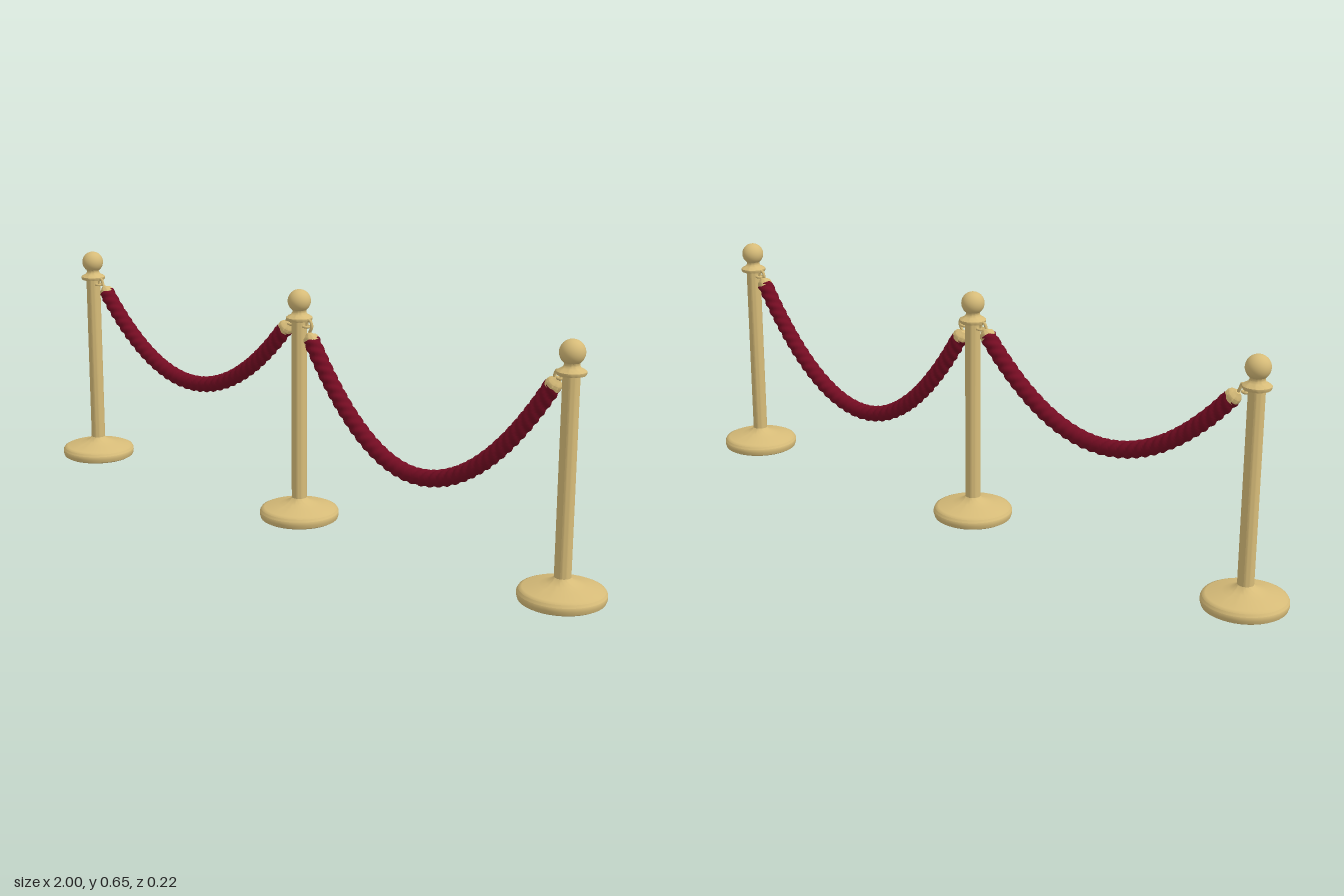
import * as THREE from 'three';
import { mergeVertices, toCreasedNormals } from 'three/addons/utils/BufferGeometryUtils.js';

const brass = new THREE.MeshStandardMaterial({ color: 0xd6bb78 });
brass.name = 'brass';
const velvet = new THREE.MeshStandardMaterial({ color: 0x740c22 });
velvet.name = 'red rope';

const V = (x, y) => new THREE.Vector3(x, y, 0);

function part(name, geometry, material) {
  const mesh = new THREE.Mesh(geometry, material);
  mesh.name = name;
  return mesh;
}

function lathe(points, creased = true) {
  const g = new THREE.LatheGeometry(points.map(([x, y]) => new THREE.Vector2(x, y)), 40);
  return creased ? toCreasedNormals(g, 0.7) : g;
}

// Post: weighted base, shaft, collar and ball finial
function createPost(x) {
  const post = new THREE.Group();
  post.name = 'post';
  post.position.x = x;
  post.add(
    part('base', lathe([[0, 0], [0.1, 0], [0.107, 0.004], [0.11, 0.013], [0.11, 0.023], [0.106, 0.03],
      [0.097, 0.034], [0.058, 0.042], [0.04, 0.049], [0.027, 0.055], [0.021, 0.062]]), brass),
    part('shaft', lathe([[0.021, 0.06], [0.021, 0.562]]), brass),
    part('collar', lathe([[0.02, 0.561], [0.034, 0.563], [0.036, 0.567], [0.036, 0.572], [0.031, 0.576],
      [0.023, 0.58], [0.019, 0.586], [0.019, 0.591], [0.022, 0.597]]), brass),
  );
  const finial = part('ballFinial', new THREE.SphereGeometry(0.0315, 32, 20), brass);
  finial.position.y = 0.617;
  post.add(finial);
  return post;
}

// Hanging curve through the lowest point, with its own height at each end
function sagCurve(start, low, end) {
  const points = [];
  for (let i = 0; i <= 24; i++) {
    const x = THREE.MathUtils.lerp(start.x, end.x, i / 24);
    const tip = x < low.x ? start : end;
    const t = (x - low.x) / (tip.x - low.x);
    points.push(V(x, low.y + (tip.y - low.y) * t * t));
  }
  return new THREE.CatmullRomCurve3(points);
}

// Twisted three-strand rope: a tube whose radius follows a helix
function ropeGeometry(curve) {
  const segments = 320, sides = 18, pitch = 0.085;
  const g = new THREE.TubeGeometry(curve, segments, 1, sides);
  const p = g.attributes.position, length = curve.getLength();
  const v = new THREE.Vector3();
  for (let i = 0; i <= segments; i++) {
    const centre = curve.getPointAt(i / segments);
    const twist = (i / segments) * length / pitch * Math.PI * 2;
    for (let j = 0; j <= sides; j++) {
      const k = i * (sides + 1) + j;
      const r = 0.0185 + 0.005 * Math.abs(Math.cos(1.5 * ((j / sides) * Math.PI * 2 - twist)));
      v.fromBufferAttribute(p, k).sub(centre).multiplyScalar(r).add(centre);
      p.setXYZ(k, v.x, v.y, v.z);
    }
  }
  g.deleteAttribute('uv');
  g.deleteAttribute('normal');
  const smooth = mergeVertices(g, 1e-5);
  smooth.computeVertexNormals();
  return smooth;
}

// Ferrule and hook joining a rope end to the collar of a post
function createHook(end, inward, postX) {
  const hook = new THREE.Group();
  hook.name = 'ropeHook';
  const out = inward.clone().negate();
  const ferrule = part('ferrule', lathe([[0, -0.006], [0.021, -0.006], [0.0215, 0.004], [0.019, 0.01],
    [0.012, 0.015], [0.007, 0.021], [0, 0.022]]), brass);
  ferrule.position.copy(end);
  ferrule.quaternion.setFromUnitVectors(V(0, 1), out);
  const side = Math.sign(end.x - postX);
  const tip = end.clone().addScaledVector(out, 0.018);
  const path = new THREE.CatmullRomCurve3([
    tip, V(postX + side * 0.047, 0.553), V(postX + side * 0.041, 0.567),
    V(postX + side * 0.032, 0.566), V(postX + side * 0.029, 0.552), V(postX + side * 0.034, 0.545),
  ]);
  hook.add(ferrule, part('hookWire', new THREE.TubeGeometry(path, 28, 0.0042, 8), brass));
  // Eye fixed to the shaft
  const eye = part('shaftEye', new THREE.TorusGeometry(0.01, 0.0035, 8, 20), brass);
  eye.position.set(postX + side * 0.028, 0.55, 0);
  eye.rotation.x = Math.PI / 2;
  hook.add(eye);
  return hook;
}

function createRope(start, low, end, postA, postB) {
  const rope = new THREE.Group();
  rope.name = 'ropeSpan';
  const curve = sagCurve(start, low, end);
  rope.add(
    part('rope', ropeGeometry(curve), velvet),
    createHook(start, curve.getTangentAt(0), postA),
    createHook(end, curve.getTangentAt(1).negate(), postB),
  );
  return rope;
}

export function createModel() {
  const model = new THREE.Group();
  model.name = 'ropeBarrier';
  for (const x of [-0.89, 0, 0.89]) model.add(createPost(x));
  model.add(
    createRope(V(-0.825, 0.53), V(-0.44, 0.313), V(-0.053, 0.535), -0.89, 0),
    createRope(V(0.046, 0.515), V(0.425, 0.214), V(0.84, 0.53), 0, 0.89),
  );
  return model;
}
